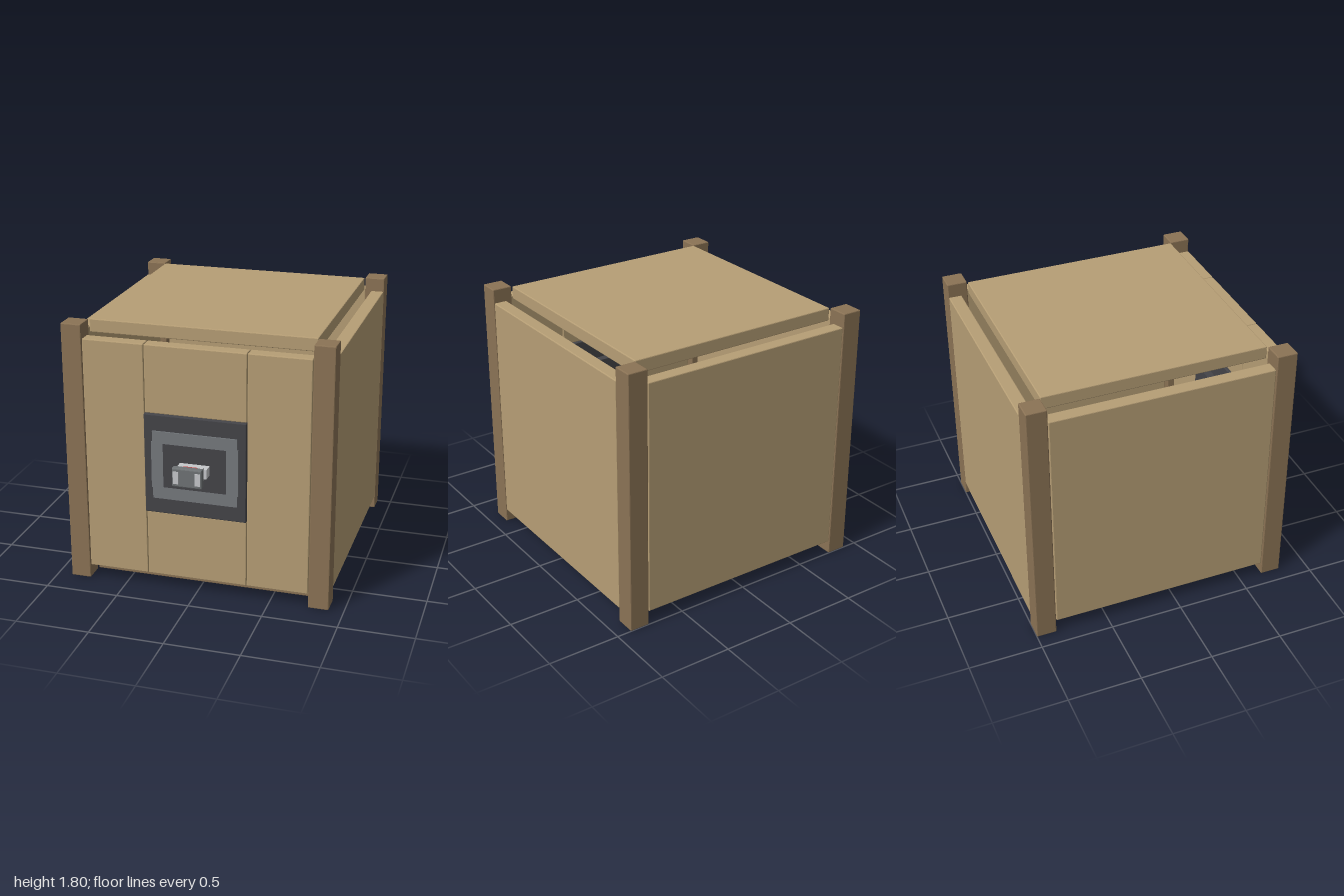
import * as THREE from 'three';
import { RoundedBoxGeometry } from 'three/addons/geometries/RoundedBoxGeometry.js';

const mat = (color) => new THREE.MeshStandardMaterial({ color, flatShading: true });

export function createModel() {
  const model = new THREE.Group();
  model.name = 'crate';
  const wood = mat(0xb69e75), darkWood = mat(0x8b7355), dark = mat(0x444448);
  const frameGrey = mat(0x75797d), headGrey = mat(0x6f7375), light = mat(0xc6c8cb), red = mat(0xc04545);

  // box given by its min and max on each axis; bevel > 0 trims the edges
  function block(name, material, [x0, x1], [y0, y1], [z0, z1], bevel = 0, parent = model) {
    const size = [x1 - x0, y1 - y0, z1 - z0];
    const geo = bevel ? new RoundedBoxGeometry(...size, 1, bevel) : new THREE.BoxGeometry(...size);
    const mesh = new THREE.Mesh(geo, material);
    mesh.name = name;
    mesh.position.set((x0 + x1) / 2, (y0 + y1) / 2, (z0 + z1) / 2);
    parent.add(mesh);
    return mesh;
  }

  const B = 0.006;
  const wallY = [0.097, 1.71], innerX = [-0.758, 0.758], innerZ = [-0.858, 0.66];
  const frontZ = [0.713, 0.803];

  // corner posts and side walls, mirrored
  for (const s of [-1, 1]) {
    const side = s > 0 ? 'left' : 'right';
    const span = (a, b) => (s > 0 ? [a, b] : [-b, -a]);
    block(side + 'FrontPost', darkWood, span(0.762, 0.9), [0, 1.803], [0.665, 0.805], B);
    block(side + 'BackPost', darkWood, span(0.762, 0.9), [0, 1.803], [-1, -0.862], B);
    block(side + 'Wall', wood, span(0.808, 0.898), wallY, innerZ, B);
    block(side + 'FrontPanel', wood, span(0.344, 0.758), wallY, frontZ, B);
  }

  // remaining panels
  block('lid', wood, innerX, [1.713, 1.803], innerZ, B);
  block('floor', darkWood, innerX, [0.003, 0.094], innerZ, B);
  block('backWall', wood, innerX, wallY, [-0.998, -0.908], B);
  block('upperFrontPanel', wood, [-0.34, 0.34], [1.25, 1.71], frontZ, B);
  block('lowerFrontPanel', wood, [-0.34, 0.34], [0.097, 0.56], frontZ, B);

  // lock unit set into the front
  const lock = new THREE.Group();
  lock.name = 'lock';
  model.add(lock);
  block('lockPlate', dark, [-0.343, 0.343], [0.563, 1.25], [0.694, 0.823], B, lock);
  block('lockBackBox', dark, [-0.19, 0.19], [0.715, 1.095], [0.64, 0.694], 0, lock);

  // raised grey frame with stepped corners
  const frame = new THREE.Shape();
  const quarter = [[0.285, 0.235], [0.285, 0.16], [0.293, 0.16]];
  const outline = [
    ...quarter,
    ...quarter.map(([x, y]) => [x, -y]).reverse(),
    ...quarter.map(([x, y]) => [-x, -y]),
    ...quarter.map(([x, y]) => [-x, y]).reverse(),
  ];
  frame.setFromPoints(outline.map(([x, y]) => new THREE.Vector2(x, y)));
  const hole = [[-0.213, -0.152], [-0.213, 0.152], [0.213, 0.152], [0.213, -0.152]];
  frame.holes.push(new THREE.Path(hole.map(([x, y]) => new THREE.Vector2(x, y))));
  const frameMesh = new THREE.Mesh(
    new THREE.ExtrudeGeometry(frame, { depth: 0.018, bevelEnabled: false }), frameGrey);
  frameMesh.name = 'lockFrame';
  frameMesh.position.set(0, 0.906, 0.814);
  lock.add(frameMesh);

  // protruding handle: base, neck, grip
  block('handleBase', light, [-0.1, 0.1], [0.872, 0.936], [0.823, 0.893], 0, lock);
  block('handleNeck', light, [-0.082, 0.082], [0.862, 0.95], [0.89, 0.952], 0, lock);
  block('handleGrip', headGrey, [-0.1, 0.1], [0.842, 0.97], [0.948, 0.995], 0.008, lock);
  for (const x of [-0.072, 0.072])
    block('gripInlay', light, [x - 0.018, x + 0.018], [0.864, 0.948], [0.98, 1], 0, lock);
  for (const z of [0.918, 0.932])
    block('redMark', red, [-0.046, 0.046], [0.945, 0.955], [z - 0.005, z + 0.005], 0, lock);

  return model;
}
